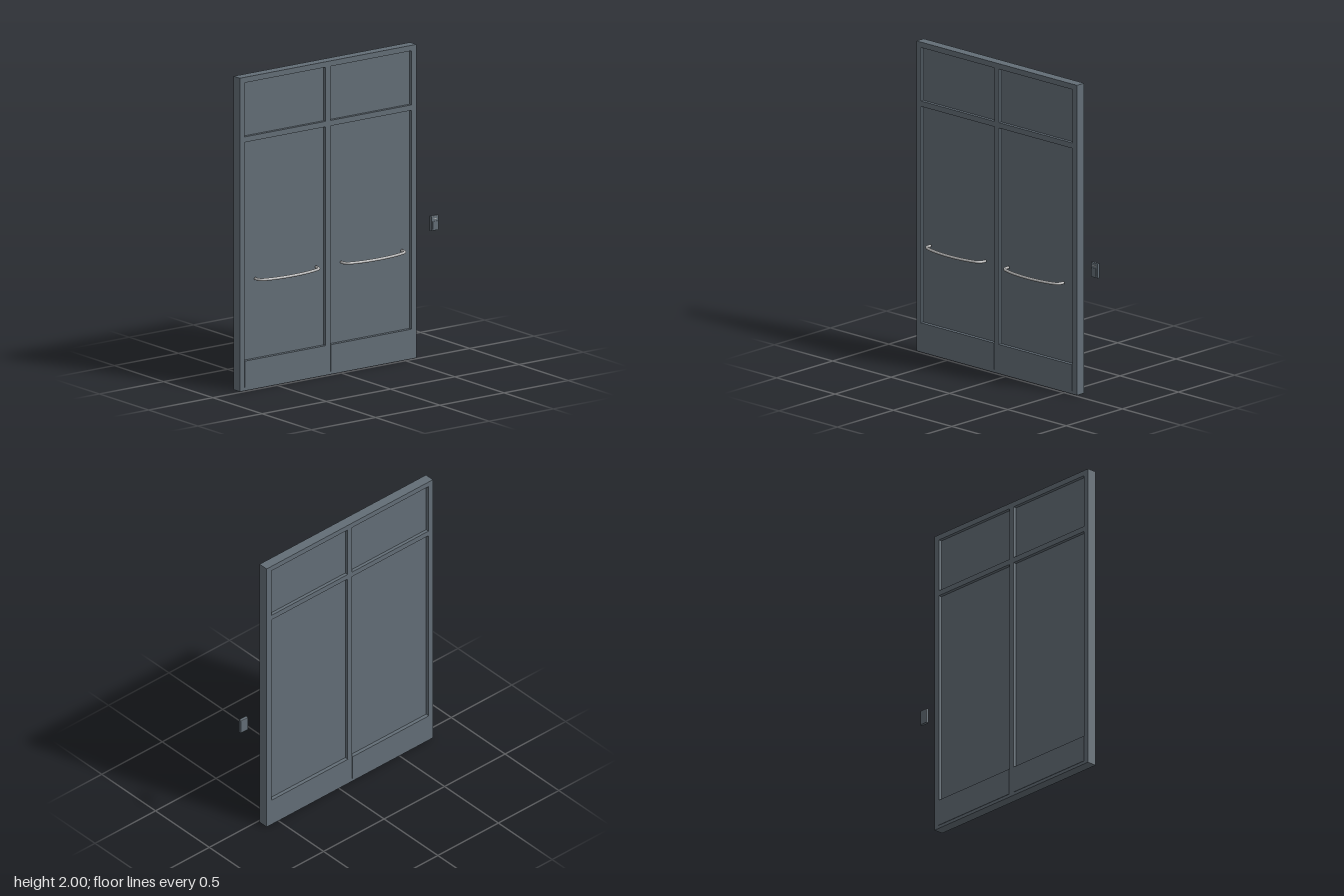
import * as THREE from 'three';

export function createModel() {
  const model = new THREE.Group();
  const paint = new THREE.MeshStandardMaterial({ color: 0x626d76 });
  paint.name = 'slate paint';
  const steel = new THREE.MeshStandardMaterial({ color: 0xb4b4b4 });
  steel.name = 'brushed steel';

  function add(name, geometry, material, x = 0, y = 0, z = 0) {
    const mesh = new THREE.Mesh(geometry, material);
    mesh.name = name;
    mesh.position.set(x, y, z);
    model.add(mesh);
    return mesh;
  }

  // Closed rectangle as a shape or a hole
  function rect(Type, x0, x1, y0, y1) {
    const path = new Type();
    path.moveTo(x0, y0);
    path.lineTo(x1, y0);
    path.lineTo(x1, y1);
    path.lineTo(x0, y1);
    path.closePath();
    return path;
  }

  const back = -0.08, front = -0.015;
  const leaves = [[-0.74, -0.11], [-0.072, 0.558]];
  const rows = [[0.19, 1.585], [1.62, 1.965]];

  // Frame with four openings
  const outline = rect(THREE.Shape, -0.777, 0.597, 0, 2);
  for (const [x0, x1] of leaves)
    for (const [y0, y1] of rows) outline.holes.push(rect(THREE.Path, x0, x1, y0, y1));
  add('doorFrame', new THREE.ExtrudeGeometry(outline, { depth: front - back, bevelEnabled: false }), paint, 0, 0, back);

  for (const [x0, x1] of leaves) {
    const cx = (x0 + x1) / 2, w = x1 - x0;

    // Recessed panels
    for (const [y0, y1] of rows)
      add('panel', new THREE.BoxGeometry(w, y1 - y0, 0.022), paint, cx, (y0 + y1) / 2, (back + front) / 2);

    // Thin kick plates on both faces
    for (const z of [front, back])
      add('kickPlate', new THREE.BoxGeometry(w, 0.17, 0.006), paint, cx, 0.105, z);

    // Bowed pull handle
    const half = [[0.236, -0.013], [0.234, 0.012], [0.222, 0.032], [0.185, 0.046], [0.11, 0.061]];
    const points = [
      ...half.map(([x, z]) => new THREE.Vector3(-x, 0, z)),
      new THREE.Vector3(0, 0, 0.068),
      ...half.slice().reverse().map(([x, z]) => new THREE.Vector3(x, 0, z)),
    ];
    const curve = new THREE.CatmullRomCurve3(points);
    add('pullHandle', new THREE.TubeGeometry(curve, 48, 0.009, 12), steel, cx + 0.003, 0.703, 0);
    for (const side of [-1, 1]) {
      const cap = add('handleEnd', new THREE.CylinderGeometry(0.009, 0.009, 0.004, 12), steel, cx + 0.003 + side * 0.236, 0.703, -0.013);
      cap.rotation.x = Math.PI / 2;
    }
  }

  // Wall switch beside the door: chamfered housing, button and indicator
  const housing = rect(THREE.Shape, -0.024, 0.024, -0.043, 0.043);
  add('switchHousing', new THREE.ExtrudeGeometry(housing, {
    depth: 0.012, bevelThickness: 0.005, bevelSize: 0.005, bevelSegments: 2,
  }), paint, 0.742, 0.837, -0.033);
  add('switchButton', new THREE.BoxGeometry(0.036, 0.05, 0.004), paint, 0.742, 0.825, -0.015);
  add('switchIndicator', new THREE.BoxGeometry(0.026, 0.004, 0.002), steel, 0.742, 0.866, -0.0155);

  return model;
}
